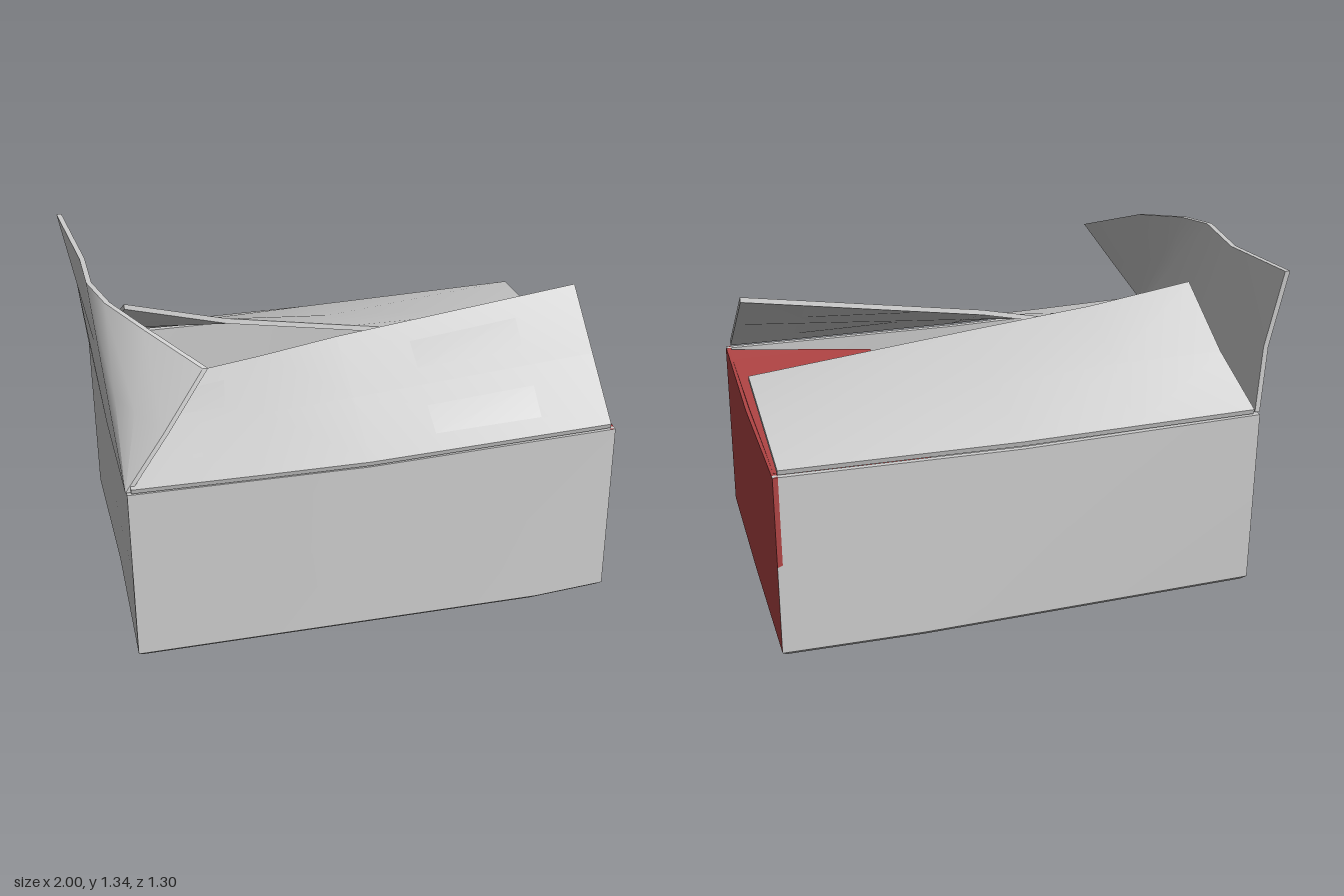
import * as THREE from 'three';
import { toCreasedNormals } from 'three/addons/utils/BufferGeometryUtils.js';

const grey = new THREE.MeshStandardMaterial({ color: 0xcccccc, side: THREE.DoubleSide });
const red = new THREE.MeshStandardMaterial({ color: 0xb04444, side: THREE.DoubleSide });

// Cardboard sheet: rows of points skinned together and thickened along an offset
function sheet(name, rows, offset, material = grey) {
  const n = rows[0].length, m = rows.length, size = n * m;
  const outer = rows.flat();
  const inner = outer.map((p) => p.map((v, k) => v + offset[k]));
  const index = [];
  const quad = (a, b, c, d) => index.push(a, b, c, a, c, d);
  for (let r = 0; r < m - 1; r++) {
    for (let c = 0; c < n - 1; c++) {
      const a = r * n + c;
      quad(a, a + 1, a + n + 1, a + n);
      quad(size + a + n, size + a + n + 1, size + a + 1, size + a);
    }
  }
  // rim around the sheet
  const rim = [];
  for (let c = 0; c < n - 1; c++) rim.push(c);
  for (let r = 0; r < m - 1; r++) rim.push(r * n + n - 1);
  for (let c = n - 1; c > 0; c--) rim.push((m - 1) * n + c);
  for (let r = m - 1; r > 0; r--) rim.push(r * n);
  rim.forEach((a, i) => {
    const b = rim[(i + 1) % rim.length];
    quad(b, a, size + a, size + b);
  });
  const geo = new THREE.BufferGeometry();
  geo.setAttribute('position', new THREE.Float32BufferAttribute([...outer, ...inner].flat(), 3));
  geo.setIndex(index);
  const mesh = new THREE.Mesh(toCreasedNormals(geo, 0.5), material);
  mesh.name = name;
  return mesh;
}

const midRow = (a, b, t = 0.5) => a.map((p, i) => p.map((v, k) => v + (b[i][k] - v) * t));

export function createModel() {
  const model = new THREE.Group();
  model.name = 'openCardboardBox';
  const T = 0.02;

  // Walls: [x, z] along the base, [x, y, z] along the rim, inward thickness
  const walls = [
    ['frontWall', [[-0.92, 0.62], [0.7, 0.65], [0.995, 0.63]],
      [[-0.915, 0.76, 0.61], [0, 0.745, 0.62], [0.99, 0.76, 0.615]], [0, 0, -T], grey],
    ['leftWall', [[0.995, 0.63], [0.998, 0], [0.995, -0.645]],
      [[0.99, 0.76, 0.615], [0.995, 0.74, 0], [0.99, 0.76, -0.635]], [-T, 0, 0], red],
    ['backWall', [[0.995, -0.645], [0.45, -0.655], [-0.92, -0.62]],
      [[0.99, 0.76, -0.635], [0.05, 0.745, -0.635], [-0.915, 0.76, -0.635]], [0, 0, T], grey],
    ['rightWall', [[-0.92, -0.62], [-0.91, 0], [-0.92, 0.62]],
      [[-0.915, 0.76, -0.635], [-0.92, 0.75, 0], [-0.915, 0.76, 0.61]], [T, 0, 0], grey],
  ];
  const foot = ([x, z]) => [x * 0.98, 0, z * 0.97];
  for (const [name, base, rim, inward, material] of walls) {
    const low = base.map(([x, z]) => [x, T, z]);
    model.add(sheet(name, [base.map(foot), low, midRow(low, rim), rim], inward, material));
  }

  // Floor
  const back = walls[2][1].slice().reverse();
  model.add(sheet('floor', [walls[0][1].map(foot), back.map(foot)], [0, T, 0]));

  // Front flap, twisted so it rises towards +x
  const frontHinge = [[-0.9, 0.765, 0.61], [-0.4, 0.755, 0.615], [0, 0.75, 0.62], [0.97, 0.765, 0.61]];
  const frontEdge = [[-0.88, 0.83, 0], [-0.3, 0.94, 0.06], [0, 1.0, 0.085], [0.97, 1.14, 0.14]];
  const frontMid = midRow(frontHinge, frontEdge);
  frontMid[0][1] += 0.02;
  model.add(sheet('frontFlap', [frontHinge, frontMid, frontEdge], [0, T, 0.005]));

  // Back flap, twisted so it rises towards -x
  const backHinge = [[-0.89, 0.765, -0.63], [-0.4, 0.76, -0.63], [0.05, 0.755, -0.63], [0.97, 0.765, -0.625]];
  const backEdge = [[-0.8, 1.125, -0.14], [-0.4, 1.04, -0.08], [0.1, 0.97, -0.03], [0.97, 0.845, 0.05]];
  const backMid = midRow(backHinge, backEdge);
  backMid[0][1] -= 0.03;
  model.add(sheet('backFlap', [backHinge, backMid, backEdge], [0, T, -0.005]));

  // Right flap standing up, its front corner folded inwards along a diagonal
  const corner = [-0.92, 0.765, 0.6];
  const finHinge = [corner, corner, corner, corner, [-0.925, 0.76, 0.1], [-0.92, 0.765, -0.62]];
  const finEdge = [[-0.6, 1.195, 0.51], [-0.78, 1.28, 0.33], [-0.9, 1.315, 0.15],
    [-0.95, 1.33, 0], [-0.95, 1.315, -0.24], [-1.0, 1.34, -0.62]];
  const finMid = midRow(finHinge, finEdge, 0.5);
  finMid[0][2] += 0.01;
  finMid[4][0] = -0.935;
  finMid[5] = [-0.945, 1.03, -0.6];
  model.add(sheet('rightFlap', [finHinge, finMid, finEdge], [T, 0, 0]));

  // Left flap folded down into the box
  model.add(sheet('leftFlap', [
    [[0.98, 0.74, 0.58], [0.98, 0.725, 0], [0.98, 0.74, -0.6]],
    [[0.38, 0.69, 0.53], [0.37, 0.68, 0], [0.38, 0.69, -0.55]],
  ], [0, T, 0], red));

  return model;
}
